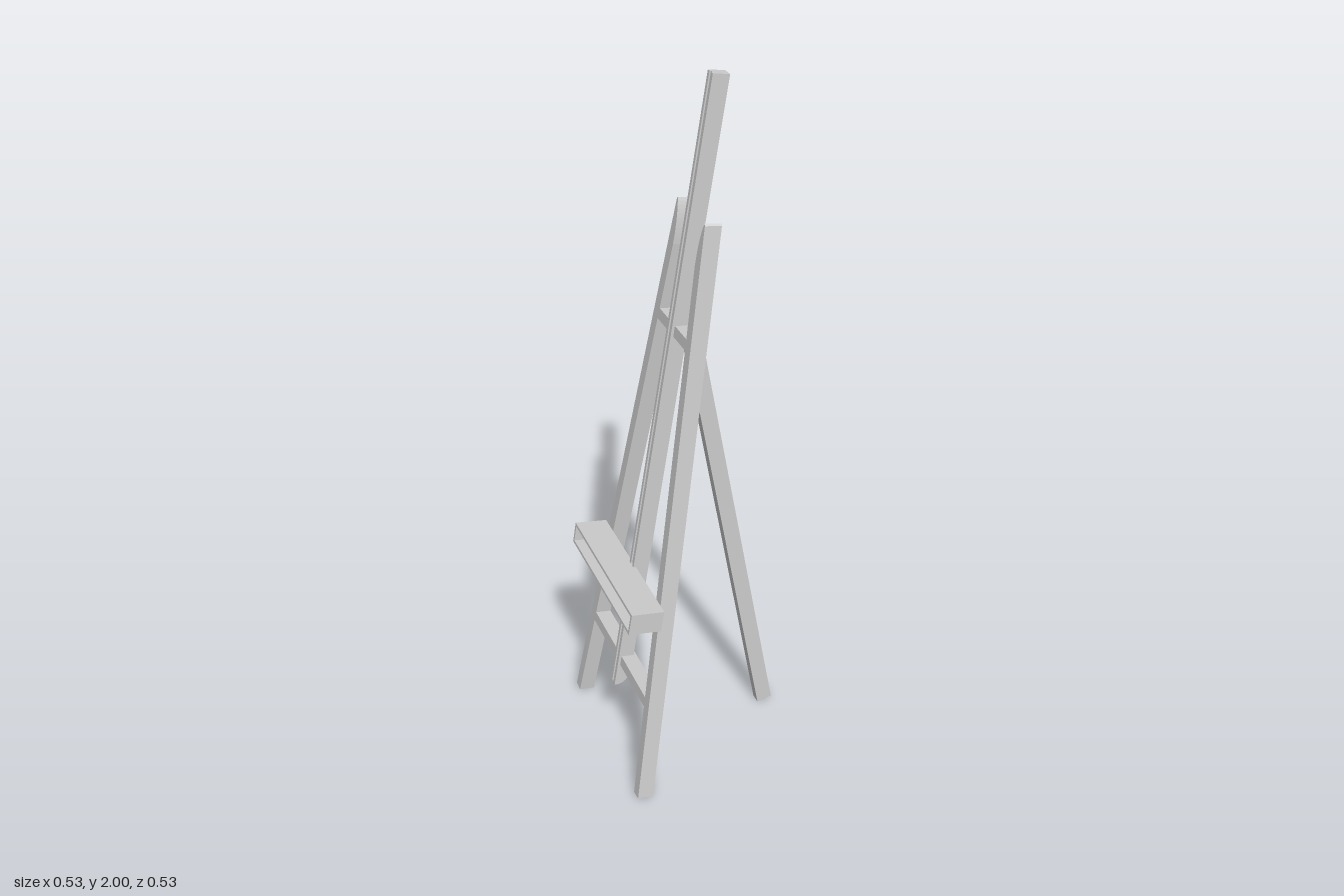
import * as THREE from 'three';

const LEAN = Math.atan(0.164); // backward lean of the front frame (towards +x)
const DEPTH = 0.0455;          // thickness of the timber, front to back

export function createModel() {
  const model = new THREE.Group();
  model.name = 'easel';
  const material = new THREE.MeshStandardMaterial({ color: 0xcccccc });

  const add = (parent, name, geometry) => {
    const mesh = new THREE.Mesh(geometry, material);
    mesh.name = name;
    parent.add(mesh);
    return mesh;
  };
  // Box given by its lower and upper limits
  const box = (parent, name, [x0, x1], [y0, y1], [z0, z1]) =>
    add(parent, name, new THREE.BoxGeometry(x1 - x0, y1 - y0, z1 - z0))
      .position.set((x0 + x1) / 2, (y0 + y1) / 2, (z0 + z1) / 2);

  // Leaning frame: local y runs up the timber, local -x is its front
  const frame = new THREE.Group();
  frame.name = 'leaningFrame';
  frame.position.x = -0.22;
  frame.rotation.z = -LEAN;
  model.add(frame);

  // Splayed front legs, rounded on the inside at the top
  for (const s of [1, -1]) {
    const shape = new THREE.Shape();
    shape.moveTo(s * 0.235, 0);
    shape.lineTo(s * 0.266, 0.003);
    shape.lineTo(s * 0.09, 1.665);
    shape.lineTo(s * 0.086, 1.67);
    shape.quadraticCurveTo(s * 0.068, 1.63, s * 0.071, 1.55);
    shape.closePath();
    const geometry = new THREE.ExtrudeGeometry(shape, { depth: DEPTH, bevelEnabled: false, curveSegments: 10 });
    geometry.rotateY(-Math.PI / 2);
    add(frame, s > 0 ? 'leftFrontLeg' : 'rightFrontLeg', geometry);
  }

  // Crossbars between the front legs
  box(frame, 'upperCrossbar', [-DEPTH, 0], [1.332, 1.362], [-0.105, 0.105]);
  box(frame, 'lowerCrossbar', [-DEPTH, 0], [0.285, 0.315], [-0.215, 0.215]);

  // Central mast: core with a rounded lower back corner, two rails leave a front groove
  const side = new THREE.Shape();
  side.moveTo(-0.049, 0.214);
  side.quadraticCurveTo(-0.012, 0.216, -0.008, 0.27);
  side.lineTo(-0.008, 2.017);
  side.lineTo(-0.049, 2.017);
  side.closePath();
  const core = new THREE.ExtrudeGeometry(side, { depth: 0.03, bevelEnabled: false, curveSegments: 8 });
  core.translate(0, 0, -0.015);
  add(frame, 'mast', core);
  for (const s of [1, -1]) {
    const z = [s * 0.005, s * 0.015].sort((a, b) => a - b);
    box(frame, 'mastRail', [-0.053, -0.049], [0.214, 2.017], z);
  }

  // Tray: a shallow box, open at the front
  const tray = new THREE.Group();
  tray.name = 'tray';
  frame.add(tray);
  const [front, back, low, high, half, wall] = [-0.1385, -DEPTH, 0.56, 0.623, 0.228, 0.008];
  box(tray, 'trayTop', [front, back], [high - wall, high], [-half, half]);
  box(tray, 'trayBottom', [front, back], [low, low + wall], [-half, half]);
  box(tray, 'trayBack', [back - 0.01, back], [low + wall, high - wall], [-half, half]);
  box(tray, 'trayLeftEnd', [front, back - 0.01], [low + wall, high - wall], [half - wall, half]);
  box(tray, 'trayRightEnd', [front, back - 0.01], [low + wall, high - wall], [-half, wall - half]);

  // Rear prop leg, leaning forward into the mast
  const prop = new THREE.Group();
  prop.name = 'rearLeg';
  prop.position.x = 0.22;
  prop.rotation.z = Math.atan(0.181);
  model.add(prop);
  box(prop, 'rearLegBar', [0, DEPTH], [0, 1.394], [-0.015, 0.015]);

  return model;
}
